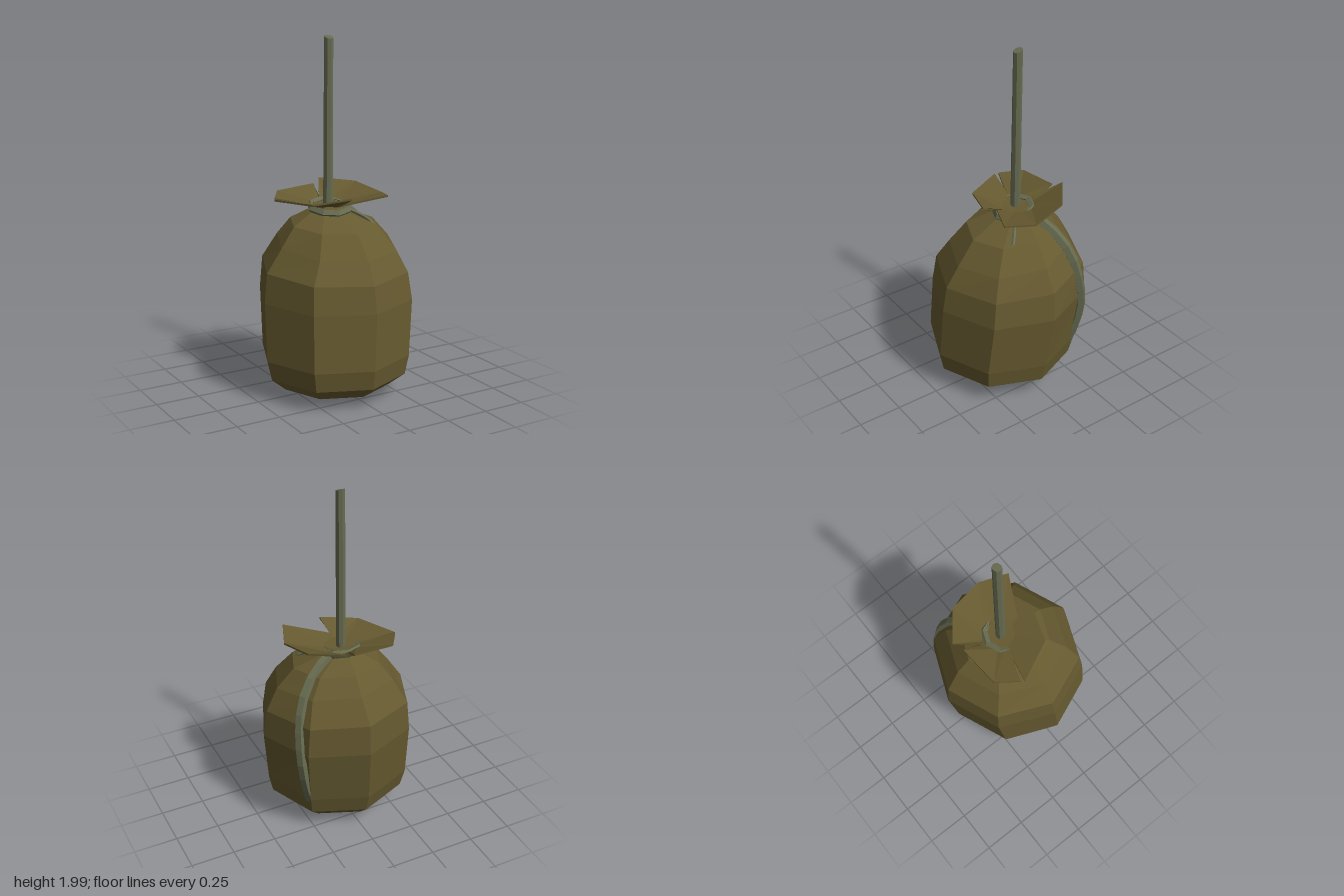
import * as THREE from 'three';

const SIDES = 8;

// Skin a stack of closed rings (arrays of [x, y, z], listed bottom to top) with flat facets
function loft(rings) {
  const n = rings[0].length, pos = [];
  for (let i = 0; i < rings.length - 1; i++) {
    for (let k = 0; k < n; k++) {
      const j = (k + 1) % n;
      const a = rings[i][k], b = rings[i][j], c = rings[i + 1][j], d = rings[i + 1][k];
      pos.push(...a, ...b, ...c, ...a, ...c, ...d);
    }
  }
  const g = new THREE.BufferGeometry();
  g.setAttribute('position', new THREE.Float32BufferAttribute(pos, 3));
  g.computeVertexNormals();
  return g;
}

// Octagonal ring, leaning by tilt along z
function ring([y, r, cx, cz, tilt]) {
  return Array.from({ length: SIDES }, (_, k) => {
    const a = (k / SIDES) * Math.PI * 2;
    const dz = r * Math.cos(a);
    return [cx + r * Math.sin(a), y + tilt * dz, cz + dz];
  });
}

export function createModel() {
  const group = new THREE.Group();
  const cloth = new THREE.MeshStandardMaterial({ color: 0x665a30, flatShading: true, side: THREE.DoubleSide });
  const cord = new THREE.MeshStandardMaterial({ color: 0x666b50, flatShading: true });
  const add = (name, geometry, material) => {
    const m = new THREE.Mesh(geometry, material);
    m.name = name;
    group.add(m);
    return m;
  };

  // Sack body: height, radius, centre x, centre z, tilt
  const body = [
    [0.005, 0, -0.02, 0.01, 0],
    [0.02, 0.17, -0.02, 0.015, 0],
    [0.05, 0.315, -0.02, 0.015, 0],
    [0.125, 0.405, -0.02, 0.025, 0],
    [0.235, 0.43, -0.02, 0.02, 0],
    [0.56, 0.445, 0, -0.012, -0.03],
    [0.725, 0.425, 0, -0.02, -0.07],
    [0.855, 0.347, 0.01, -0.015, -0.12],
    [0.965, 0.255, 0.005, -0.03, -0.08],
    [1.03, 0.11, -0.01, -0.06, -0.1],
    [1.07, 0.09, -0.01, -0.065, -0.1],
  ];
  add('sack', loft(body.map(ring)), cloth);

  // Flared collar: outer x, y, z and the direction of its inner point in degrees
  const rim = [
    [-0.01, 1.075, 0.055, 0], [0.23, 1.13, 0.175, 42], [0.295, 1.115, 0.01, 73],
    [0.25, 1.15, -0.2, 116], [0.08, 1.165, -0.33, 162], [0, 1.09, -0.19, 172],
    [0.025, 1.14, -0.3, 180], [-0.22, 1.125, -0.28, 228], [-0.3, 1.11, -0.16, 252],
    [-0.17, 1.08, -0.11, 260], [-0.31, 1.105, -0.14, 270], [-0.2, 1.105, 0.09, 310],
    [0.01, 1.13, 0.16, 352],
  ];
  const inner = (y, r) => rim.map((p) => {
    const a = THREE.MathUtils.degToRad(p[3]);
    return [r * Math.sin(a), y, -0.075 + r * Math.cos(a)];
  });
  const outer = (dy) => rim.map(([x, y, z]) => [x, y + dy, z]);
  add('collar', loft([
    inner(1.055, 0.09), outer(-0.01), outer(0), inner(1.068, 0.09), inner(1.063, 0),
  ]), cloth);

  // Cord wound round the neck
  const neck = new THREE.TorusGeometry(0.105, 0.024, 5, SIDES);
  neck.rotateX(Math.PI / 2 + 0.18);
  add('neckCord', neck, cord).position.set(-0.01, 1.045, -0.06);

  // Loose cord ends lying on the sack
  const ends = [
    ['longCord', 0.03, 10, [[0.06, 1.05, -0.1], [0.16, 1.005, -0.14], [0.255, 0.925, -0.19],
      [0.315, 0.8, -0.235], [0.335, 0.66, -0.265], [0.335, 0.52, -0.285], [0.31, 0.36, -0.275], [0.27, 0.22, -0.25]]],
    ['shortCord', 0.011, 5, [[0.06, 1.045, -0.01], [0.12, 1.015, 0.03], [0.17, 0.98, 0.07], [0.195, 0.945, 0.1]]],
  ];
  for (const [name, radius, steps, points] of ends) {
    const path = new THREE.CatmullRomCurve3(points.map((p) => new THREE.Vector3(...p)));
    add(name, new THREE.TubeGeometry(path, steps, radius, 5), cord);
  }

  // Upright rope with a slanted cut at the top
  const stem = [
    [1.04, 0.028, -0.01, -0.07, 0],
    [1.99, 0.026, 0, -0.076, -0.35],
    [1.99, 0, 0, -0.076, 0],
  ];
  add('hangingRope', loft(stem.map(ring)), cord);

  return group;
}
